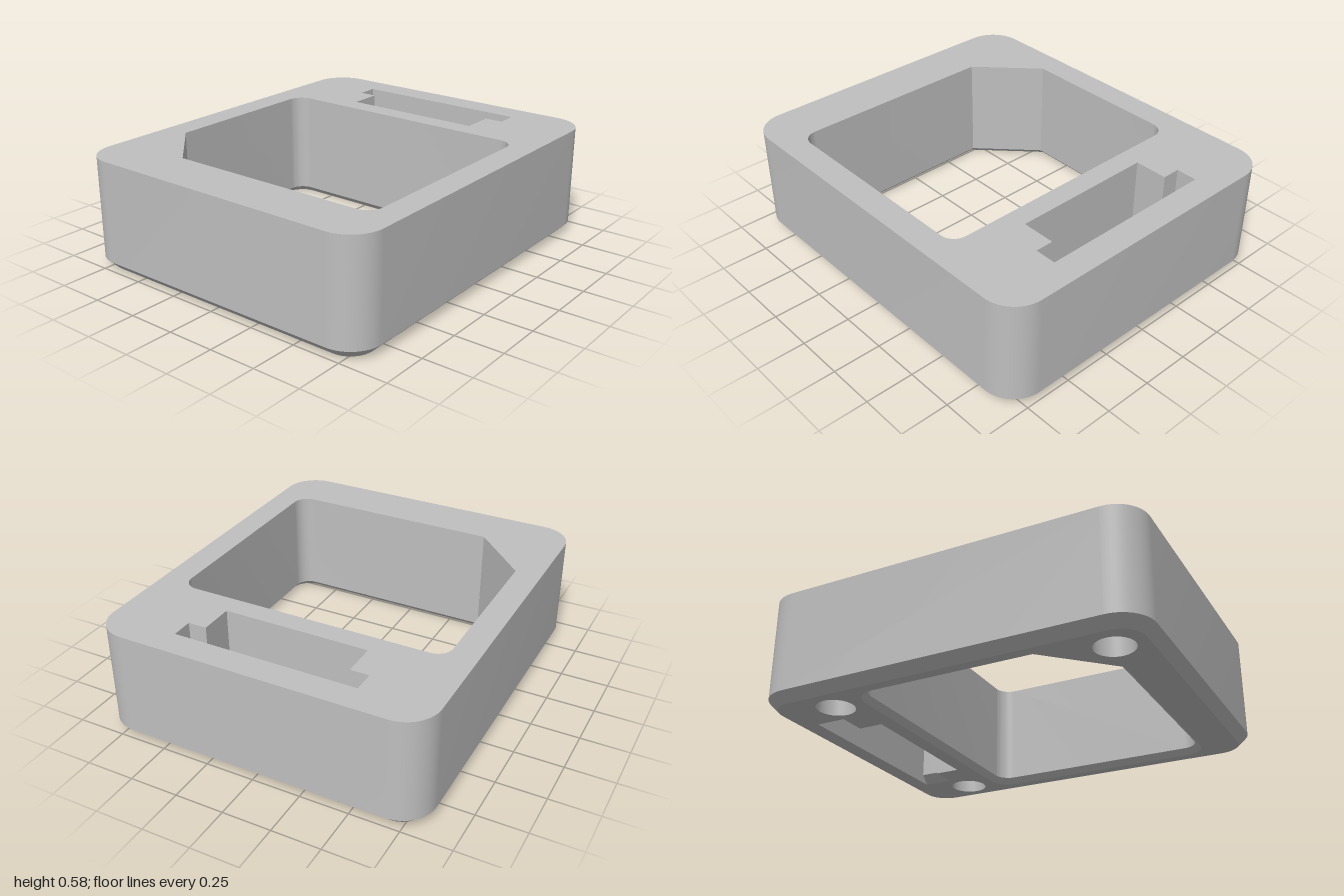
import * as THREE from 'three';
import { mergeGeometries, toCreasedNormals } from 'three/addons/utils/BufferGeometryUtils.js';

const HEIGHT = 0.58;
const V = (x, y) => new THREE.Vector2(x, y);

// Outlines lie in the plan plane as (x, -z), counter-clockwise seen from above.
function arc(cx, cy, r, start, sweep = Math.PI / 2, n = 14) {
  return Array.from({ length: n + 1 }, (_, i) => {
    const a = start + (sweep * i) / n;
    return V(cx + r * Math.cos(a), cy + r * Math.sin(a));
  });
}

// Rounded outer outline, drawn in by d
function outerLoop(d) {
  const r = 0.17, pts = [];
  [[1, 1], [-1, 1], [-1, -1], [1, -1]].forEach(([sx, sy], i) =>
    pts.push(...arc(sx * (1 - r), sy * (0.85 - r), r - d, (i * Math.PI) / 2)));
  return pts;
}

// Large opening with one cut corner, widened by d
function openingLoop(d) {
  const r = 0.08, x0 = -0.73, x1 = 0.465, y = 0.713, k = 0.414 * d;
  return [
    ...arc(x1 - r, y - r, r + d, 0),
    V(-0.44 - k, y + d), V(x0 - d, 0.428 + k),
    ...arc(x0 + r, -y + r, r + d, Math.PI),
    ...arc(x1 - r, -y + r, r + d, Math.PI * 1.5),
  ];
}

// T-shaped slot whose two arms widen by d
function slotLoop(d) {
  const a = 0.75 - d, e = 0.473 + d, m = 0.378;
  return [V(0.86, -e), V(0.86, e), V(a, e), V(a, m), V(0.575, m), V(0.575, -m), V(a, -m), V(a, -e)];
}

const circleLoop = (x, z, r) => arc(x, -z, r, 0, Math.PI * 2, 40).slice(0, -1);

// Wall between two matching loops; inward turns it to face into a hole
function wall(low, y0, high, y1, inward = false) {
  const pos = [], n = low.length;
  for (let i = 0; i < n; i++) {
    const j = (i + 1) % n;
    const a = [low[i].x, y0, -low[i].y], b = [low[j].x, y0, -low[j].y];
    const c = [high[j].x, y1, -high[j].y], e = [high[i].x, y1, -high[i].y];
    pos.push(...(inward ? [a, c, b, a, e, c] : [a, b, c, a, c, e]).flat());
  }
  const g = new THREE.BufferGeometry();
  g.setAttribute('position', new THREE.Float32BufferAttribute(pos, 3));
  return g;
}

// Flat face with holes at height y, facing up or down
function cap(loop, holes, y, up) {
  const map = (l) => l.map((p) => V(p.x, up ? p.y : -p.y));
  const shape = new THREE.Shape(map(loop));
  shape.holes = holes.map((h) => new THREE.Path(map(h)));
  const g = new THREE.ShapeGeometry(shape).toNonIndexed();
  g.rotateX(up ? -Math.PI / 2 : Math.PI / 2).translate(0, y, 0);
  g.deleteAttribute('normal');
  g.deleteAttribute('uv');
  return g;
}

export function createModel() {
  const model = new THREE.Group();
  model.name = 'frameBlock';
  const grey = new THREE.MeshStandardMaterial({ color: 0xbfbfbf });
  grey.name = 'grey';
  const add = (name, parts) => {
    const mesh = new THREE.Mesh(toCreasedNormals(mergeGeometries(parts), 0.5), grey);
    mesh.name = name;
    model.add(mesh);
  };

  const outer = outerLoop(0), foot = outerLoop(0.05);
  const opening = openingLoop(0), openingFoot = openingLoop(0.03);
  const slot = slotLoop(0), slotFoot = slotLoop(0.045);
  const sockets = [[0.655, -0.65], [0.655, 0.655], [-0.795, -0.645]].map(([x, z]) => circleLoop(x, z, 0.097));

  // Outer sides with bevelled foot
  add('outerWall', [wall(foot, 0, outer, 0.05), wall(outer, 0.05, outer, HEIGHT)]);

  // Top and bottom faces
  add('topFace', [cap(outer, [opening, slot], HEIGHT, true)]);
  add('bottomFace', [cap(foot, [openingFoot, slotFoot, ...sockets], 0, false)]);

  // Through openings with flared lower edges
  add('openingWall', [wall(openingFoot, 0, opening, 0.03, true), wall(opening, 0.03, opening, HEIGHT, true)]);
  add('slotWall', [wall(slotFoot, 0, slot, 0.045, true), wall(slot, 0.045, slot, HEIGHT, true)]);

  // Blind round sockets in the underside
  sockets.forEach((s) => add('socket', [wall(s, 0, s, 0.2, true), cap(s, [], 0.2, false)]));

  return model;
}
